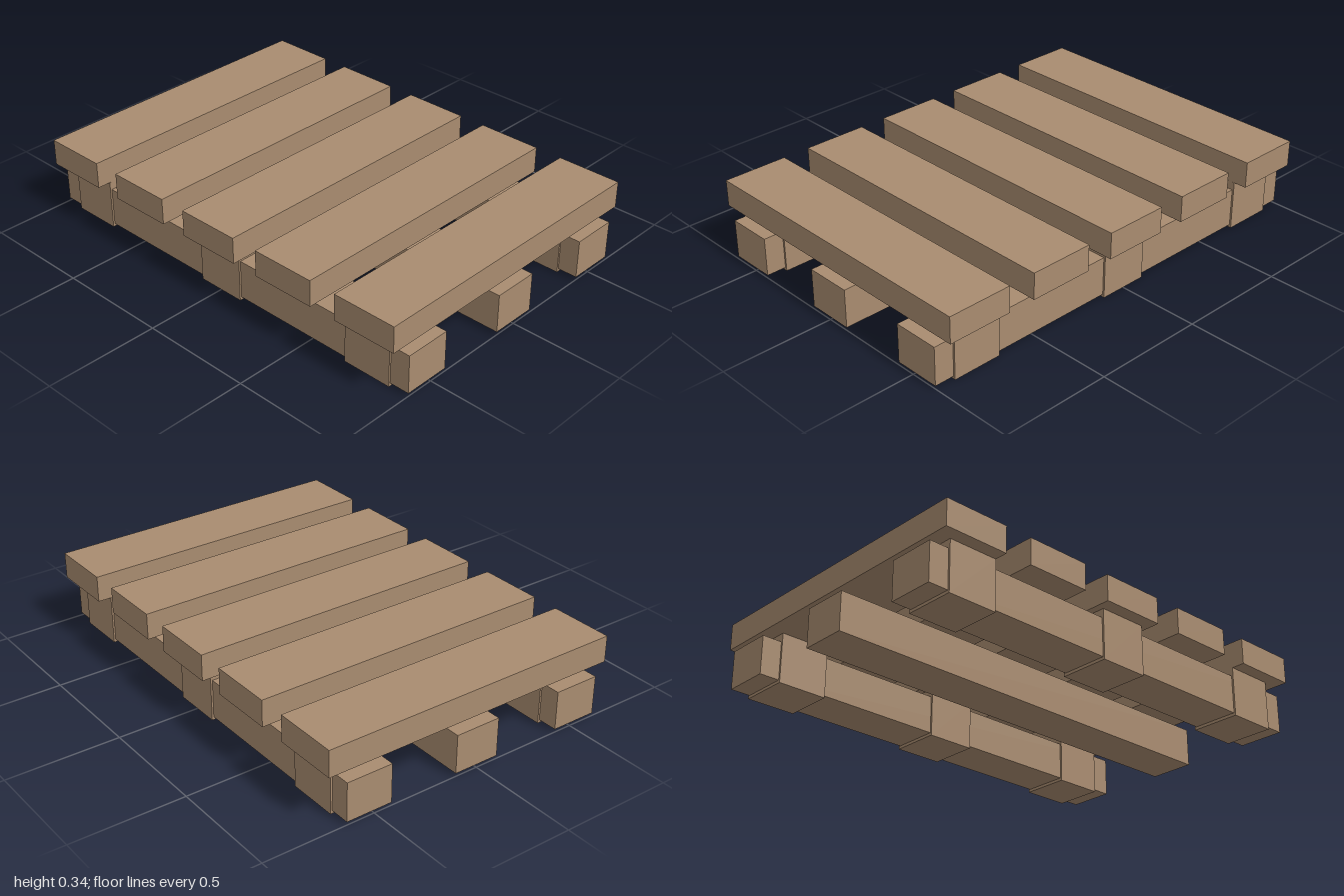
import * as THREE from 'three';

export function createModel() {
  const pallet = new THREE.Group();
  pallet.name = 'pallet';
  const wood = new THREE.MeshStandardMaterial({ color: 0xa98c70 });
  wood.name = 'wood';

  // Box placed by its underside height
  const addBox = (name, [w, h, d], x, bottom, z) => {
    const mesh = new THREE.Mesh(new THREE.BoxGeometry(w, h, d), wood);
    mesh.name = name;
    mesh.position.set(x, bottom + h / 2, z);
    pallet.add(mesh);
  };

  // Top slats, running front to back
  for (let i = -2; i <= 2; i++) {
    addBox('slat', [0.293, 0.118, 1.386], i * 0.417, 0.222, 0);
  }

  // Long rails, running side to side
  for (const z of [-0.522, 0, 0.522]) {
    addBox('rail', [2, 0.172, 0.208], 0, 0.013, z);
  }

  // Support blocks around the two outer rails
  for (const z of [-0.522, 0.522]) {
    for (const x of [-0.799, 0, 0.799]) {
      addBox('block', [0.224, 0.222, 0.224], x, 0, z);
    }
  }

  return pallet;
}
